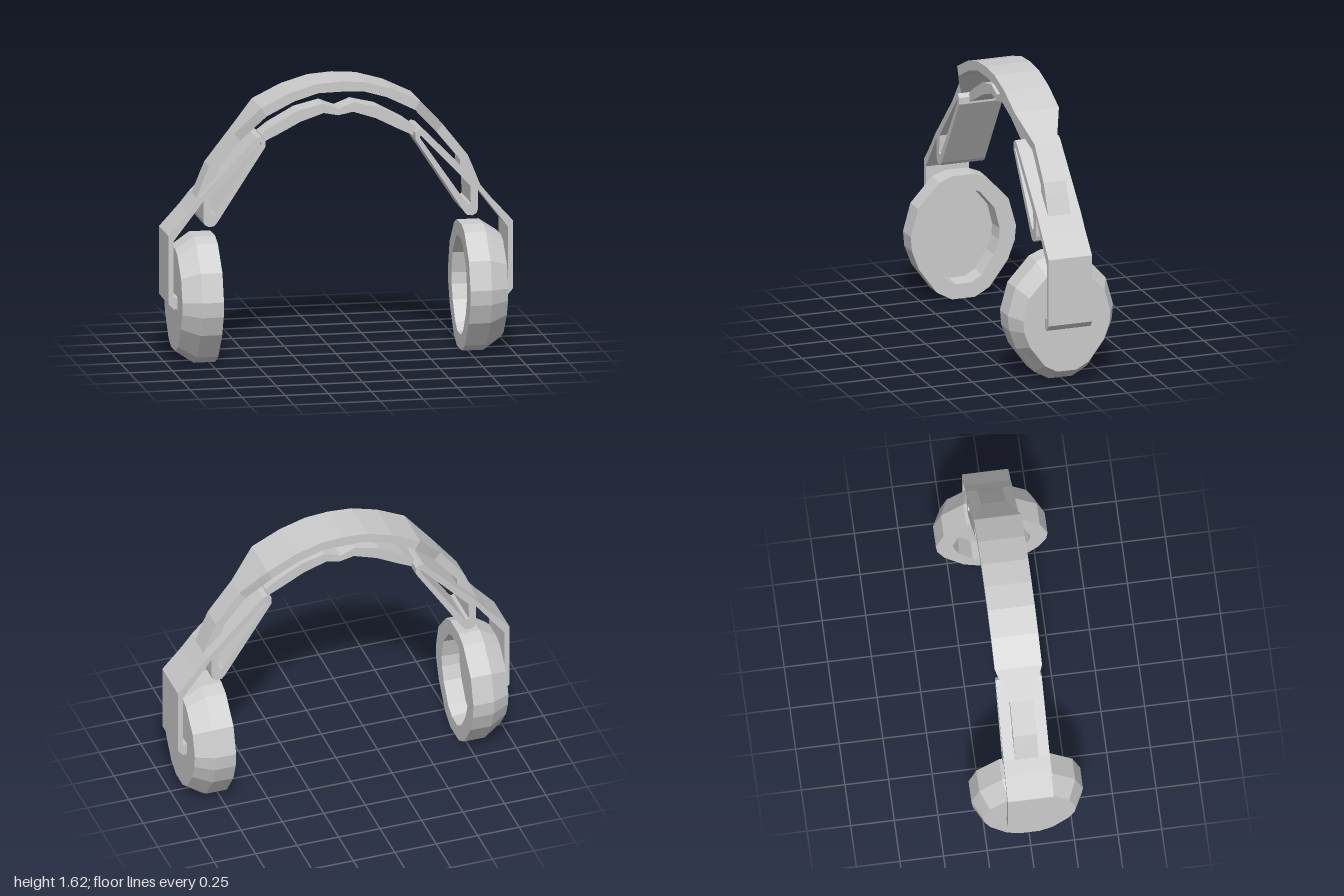
import * as THREE from 'three';

const material = new THREE.MeshStandardMaterial({ color: 0xcccccc, flatShading: true });

// Skin a series of equal-sized closed rings of [x, y, z] points
function loft(rings) {
  const pos = [];
  for (let i = 0; i < rings.length - 1; i++) {
    const n = rings[i].length;
    for (let j = 0; j < n; j++) {
      const k = (j + 1) % n;
      const a = rings[i][j], b = rings[i][k], c = rings[i + 1][k], d = rings[i + 1][j];
      pos.push(...a, ...b, ...c, ...a, ...c, ...d);
    }
  }
  const g = new THREE.BufferGeometry();
  g.setAttribute('position', new THREE.Float32BufferAttribute(pos, 3));
  g.computeVertexNormals();
  return g;
}

function part(name, geometry) {
  const m = new THREE.Mesh(geometry, material);
  m.name = name;
  return m;
}

// Symmetrical strap; stations run from the crown outwards:
// [outer x, outer y, inner x, inner y, half width]
function strap(stations) {
  const mirrored = stations.slice(1).reverse().map(([a, b, c, d, w]) => [-a, b, -c, d, w]);
  const rings = [...mirrored, ...stations].map(([ox, oy, ix, iy, w]) =>
    [[ox, oy, w], [ix, iy, w], [ix, iy, -w], [ox, oy, -w]]);
  const cap = (r) => r.map(() => [(r[0][0] + r[1][0]) / 2, (r[0][1] + r[1][1]) / 2, 0]);
  return loft([cap(rings[0]), ...rings, cap(rings[rings.length - 1])]);
}

// Ear cup: 16-sided oval rings from the recess floor, round the rim, to the back
function cupGeometry() {
  const midY = 0.368;
  const half = [[0.735, 0.07], [0.705, 0.145], [0.563, 0.275], [0.4, 0.32],
    [0.312, 0.312], [0.2, 0.27], [0.05, 0.16], [0, 0.07]];
  const outline = [...half, ...half.slice().reverse().map(([y, z]) => [y, -z])];
  const ring = (x, sy, sz) => outline.map(([y, z]) => [x, midY + (y - midY) * sy, z * sz]);
  return loft([
    ring(0.82, 0, 0), ring(0.82, 0.74, 0.67), ring(0.715, 0.76, 0.69),
    ring(0.715, 1, 1), ring(0.84, 1, 1), ring(0.945, 0.81, 0.83), ring(0.945, 0, 0),
  ]);
}

// Side arm: looped bracket, long arm and hanging plate in one extruded outline
function armGeometry() {
  const v = (pts) => pts.map(([x, y]) => new THREE.Vector2(x, y));
  const shape = new THREE.Shape(v([
    [0.46, 1.315], [0.435, 1.295], [0.435, 1.255], [0.715, 0.825], [0.735, 0.803],
    [0.765, 0.8], [0.79, 0.815], [0.797, 0.84], [0.797, 0.95], [0.97, 0.725],
    [0.97, 0.4], [0.945, 0.4], [0.945, 0.33], [0.97, 0.33], [1, 0.365],
    [1, 0.76], [0.885, 0.885], [0.82, 0.965], [0.485, 1.305],
  ]));
  shape.holes.push(new THREE.Path(v([
    [0.463, 1.28], [0.752, 0.975], [0.755, 0.875], [0.74, 0.865], [0.725, 0.88], [0.46, 1.265],
  ])));
  const g = new THREE.ExtrudeGeometry(shape, { depth: 0.264, bevelEnabled: false });
  return g.translate(0, 0, -0.132);
}

export function createModel() {
  const model = new THREE.Group();
  model.name = 'headphones';

  // Wide outer band, narrowing towards its ends
  model.add(part('outerHeadband', strap([
    [0, 1.615, 0, 1.555, 0.135],
    [0.14, 1.605, 0.13, 1.552, 0.135],
    [0.295, 1.56, 0.27, 1.51, 0.135],
    [0.46, 1.48, 0.43, 1.43, 0.135],
    [0.605, 1.325, 0.57, 1.28, 0.068],
    [0.75, 1.14, 0.705, 1.115, 0.068],
    [0.778, 1.075, 0.705, 1.05, 0.068],
    [0.83, 0.945, 0.79, 0.965, 0.068],
  ])));

  // Narrow inner band between the two brackets
  model.add(part('innerHeadband', strap([
    [0, 1.44, 0, 1.403, 0.068],
    [0.09, 1.475, 0.085, 1.42, 0.068],
    [0.235, 1.44, 0.22, 1.375, 0.068],
    [0.39, 1.355, 0.355, 1.305, 0.068],
    [0.45, 1.31, 0.44, 1.265, 0.068],
  ])));

  // Each side carries an arm and a cup; the right is the left turned half round
  const arm = armGeometry(), cup = cupGeometry();
  for (const [name, turn] of [['left', 0], ['right', Math.PI]]) {
    const side = new THREE.Group();
    side.name = name + 'Side';
    side.add(part(name + 'Arm', arm), part(name + 'EarCup', cup));
    side.rotation.y = turn;
    model.add(side);
  }
  return model;
}
